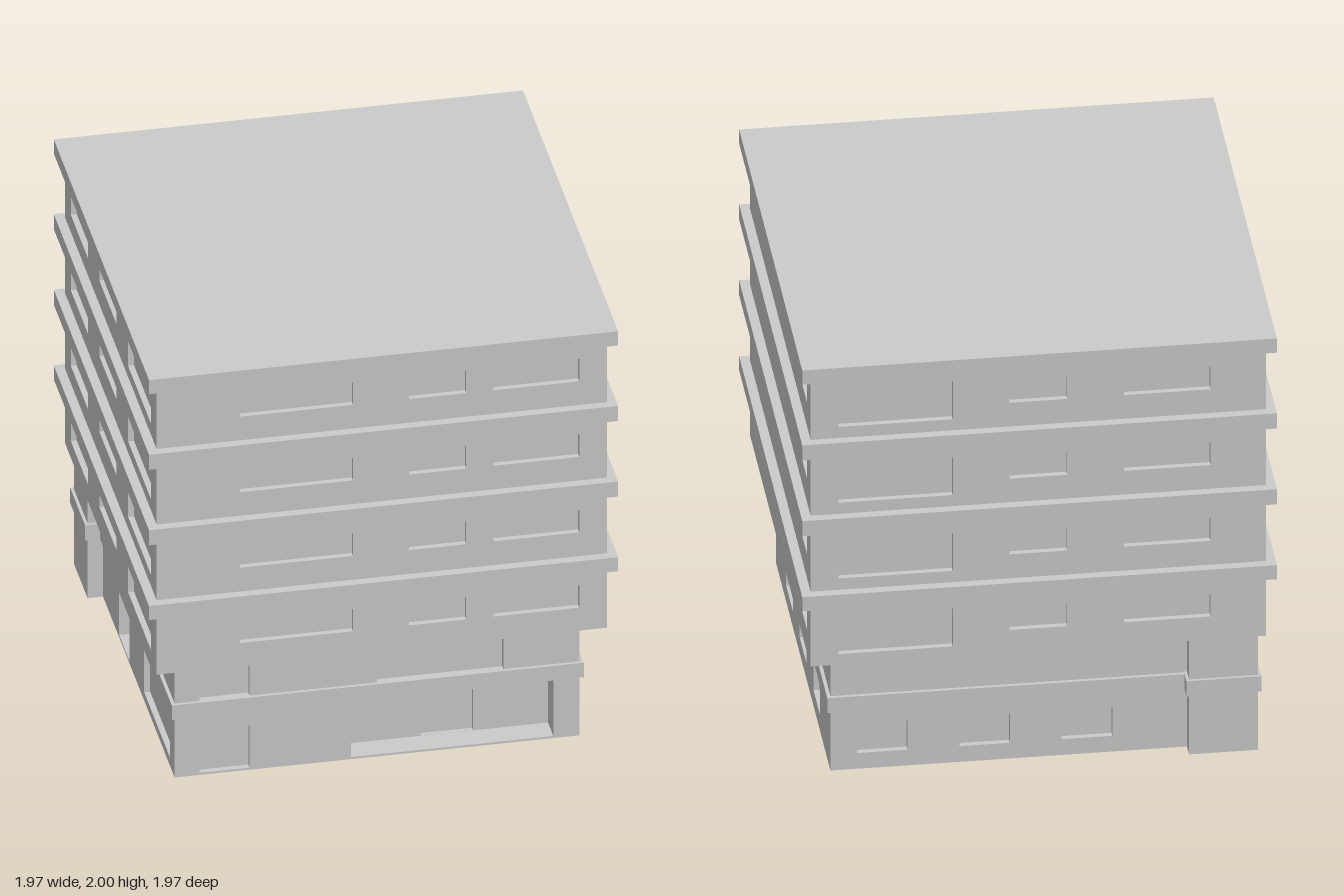
import * as THREE from 'three';

const material = new THREE.MeshStandardMaterial({ color: 0xcccccc, side: THREE.DoubleSide, flatShading: true });

function add(parent, name, geometry) {
  const mesh = new THREE.Mesh(geometry, material);
  mesh.name = name;
  parent.add(mesh);
  return mesh;
}

// Box given by its limits on each axis
function block(parent, name, x0, x1, y0, y1, z0, z1) {
  const mesh = add(parent, name, new THREE.BoxGeometry(x1 - x0, y1 - y0, z1 - z0));
  mesh.position.set((x0 + x1) / 2, (y0 + y1) / 2, (z0 + z1) / 2);
  return mesh;
}

function opening(a, b, y0, y1, depth = 0.025, inner = null) {
  return { u0: Math.min(a, b), u1: Math.max(a, b), y0, y1, depth, inner };
}

function rectangle(type, u0, u1, y0, y1) {
  const path = new type();
  path.moveTo(u0, y0);
  path.lineTo(u1, y0);
  path.lineTo(u1, y1);
  path.lineTo(u0, y1);
  path.closePath();
  return path;
}

// Flat wall facing +z with recessed openings; a recess may hold further openings in its back
function wall(parent, name, u0, u1, y0, y1, z, openings) {
  const shape = rectangle(THREE.Shape, u0, u1, y0, y1);
  for (const o of openings) shape.holes.push(rectangle(THREE.Path, o.u0, o.u1, o.y0, o.y1));
  add(parent, name, new THREE.ShapeGeometry(shape)).position.z = z;
  for (const o of openings) {
    const box = new THREE.BoxGeometry(o.u1 - o.u0, o.y1 - o.y0, o.depth);
    // leave out the front face, and the back too when it has its own openings
    box.setIndex(Array.from(box.index.array).slice(0, 24).concat(
      o.inner ? [] : Array.from(box.index.array).slice(30)));
    box.clearGroups();
    box.translate((o.u0 + o.u1) / 2, (o.y0 + o.y1) / 2, z - o.depth / 2);
    add(parent, 'openingRecess', box);
    if (o.inner) wall(parent, 'recessBackWall', o.u0, o.u1, o.y0, o.y1, z - o.depth, o.inner);
  }
}

// One side of the building, turned about the vertical axis
function side(parent, name, turn) {
  const group = new THREE.Group();
  group.name = name;
  group.rotation.y = turn * Math.PI / 2;
  parent.add(group);
  return group;
}

export function createModel() {
  const model = new THREE.Group();
  model.name = 'officeBuilding';
  const front = side(model, 'frontSide', 0);
  const left = side(model, 'leftSide', 1);    // local x runs towards -z
  const back = side(model, 'backSide', 2);    // local x runs towards -x
  const right = side(model, 'rightSide', -1); // local x runs towards +z

  // Lower two storeys
  const B = 0.85;
  wall(front, 'baseWall', -B, B, 0, 0.56, B, [
    opening(-0.745, -0.535, 0.01, 0.215),
    opening(-0.745, -0.535, 0.355, 0.5),
    opening(0, 0.53, 0.355, 0.5),
    opening(-0.11, 0.74, 0.01, 0.285, 0.11, [opening(0.205, 0.425, 0.011, 0.215, 0.02)]),
  ]);
  wall(left, 'baseWall', -B, B, 0, 0.56, B,
    [-0.535, -0.11, 0.32].map(u => opening(u, u + 0.21, 0.075, 0.215)));
  wall(back, 'baseWall', -B, B, 0, 0.56, B,
    [-0.74, -0.315, 0.11].map(u => opening(u, u + 0.21, 0.075, 0.215)));
  wall(right, 'baseWall', -B, B, 0, 0.56, B, [
    opening(-0.3, -0.085, 0.01, 0.215, 0.25),
    opening(0.22, 0.75, 0.04, 0.25),
    ...[-0.42, -0.2, 0.02, 0.43].map(u => opening(u, u + 0.2, 0.38, 0.5, 0.06)),
  ]);
  block(model, 'groundPlate', -0.849, 0.849, 0, 0.009, -0.849, 0.849);

  // Thin ledge around the base, kept as four strips outside the wall
  for (const s of [front, left, back, right]) {
    block(s, 'baseLedge', -0.865, 0.865, 0.285, 0.355, 0.84, 0.865);
  }

  // Corner stair pillar at the back
  block(model, 'cornerPillar', -0.915, -0.63, 0, 0.559, -0.915, -0.63);
  block(model, 'cornerPillarLedge', -0.928, -0.617, 0.285, 0.358, -0.928, -0.617);

  // Upper block
  const T = 0.945;
  const rows = [0.67, 1.031, 1.393, 1.755];
  const perStorey = make => rows.flatMap(make);
  wall(front, 'towerWall', -T, T, 0.56, 1.96, T, perStorey(y => [
    opening(-0.595, -0.12, y, y + 0.108),
    opening(0.115, 0.355, y, y + 0.108),
    opening(0.47, 0.83, y, y + 0.108),
  ]));
  wall(left, 'towerWall', -T, T, 0.56, 1.96, T, perStorey(y => [
    opening(-0.83, -0.475, y, y + 0.108, 0.24),
    opening(0, 0.355, y, y + 0.108),
    opening(0.47, 0.83, y, y + 0.108, 0.24),
  ]));
  wall(back, 'towerWall', -T, T, 0.56, 1.96, T, perStorey(y => [
    opening(-0.83, -0.355, y - 0.06, y + 0.12),
    opening(-0.12, 0.12, y, y + 0.108),
    opening(0.355, 0.715, y, y + 0.108),
  ]));
  wall(right, 'towerWall', -T, T, 0.56, 1.96, T, perStorey(y => [
    opening(-0.83, -0.47, y - 0.03, y + 0.11),
    opening(-0.24, 0.117, y, y + 0.108),
    opening(0.355, 0.83, y - 0.06, y + 0.12),
  ]));
  block(model, 'towerUnderside', -0.944, 0.944, 0.56, 0.57, -0.944, 0.944);

  // Low blocks inside the open corner loggias
  for (const y of rows) {
    block(left, 'loggiaBlock', -0.595, -0.476, y + 0.001, y + 0.074, T - 0.23, T - 0.03);
    block(left, 'loggiaBlock', 0.471, 0.59, y + 0.001, y + 0.074, T - 0.23, T - 0.03);
  }

  // Projecting floor slabs and roof
  [[0.85, 0.917], [1.208, 1.28], [1.57, 1.642], [1.932, 2]].forEach(([y0, y1], i) => {
    block(model, i === 3 ? 'roofSlab' : 'floorSlab', -0.985, 0.985, y0, y1, -0.985, 0.985);
  });
  return model;
}
